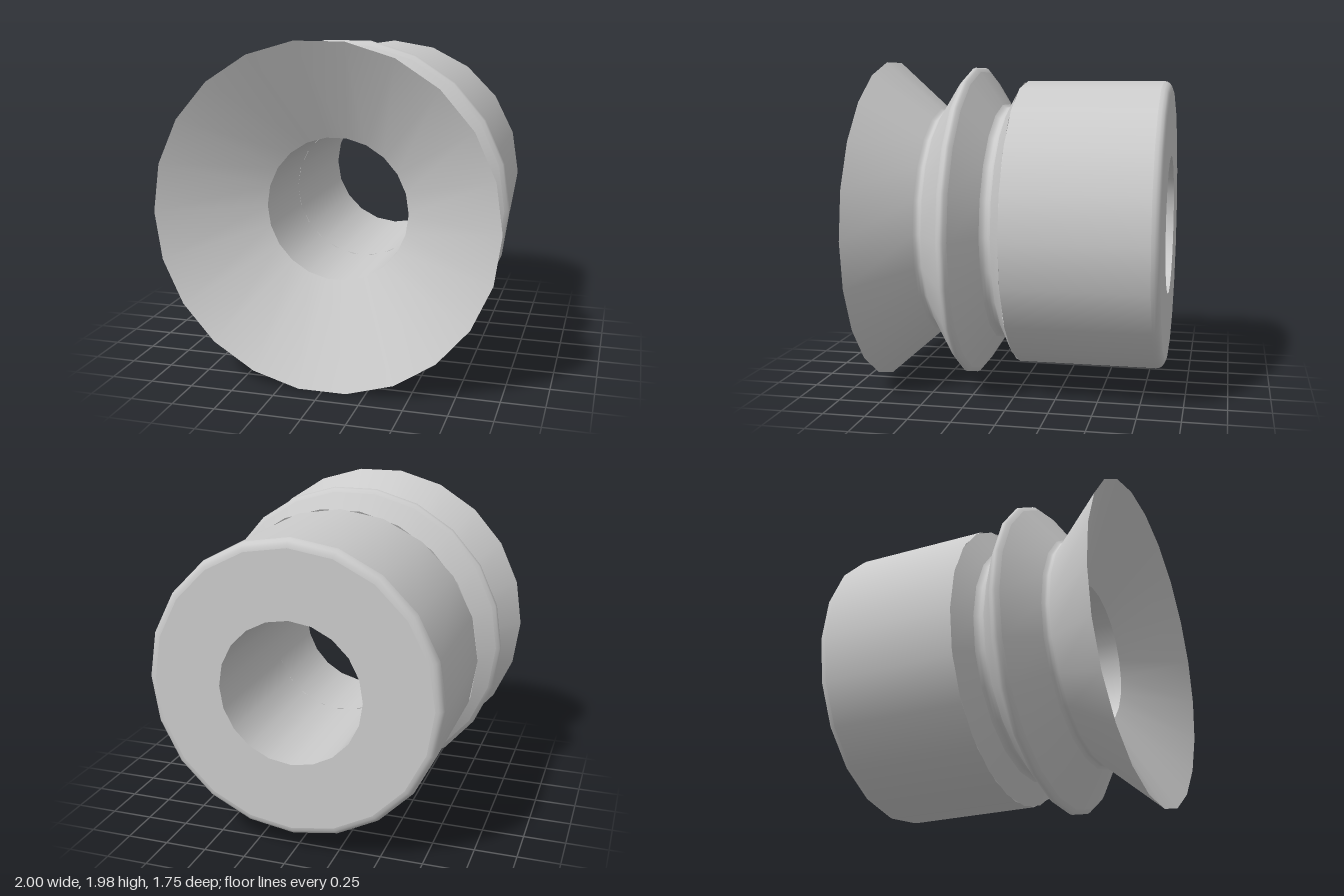
import * as THREE from 'three';
import { mergeGeometries } from 'three/addons/utils/BufferGeometryUtils.js';

const CENTER_Y = 0.99;
const BORE = 0.425;

// Revolves [radius, z] sections around the z axis; each section is smooth, with creases between sections.
function revolve(name, sections, sides, material) {
  const parts = sections.map((points) =>
    new THREE.LatheGeometry(points.map(([r, z]) => new THREE.Vector2(r, z)), sides, Math.PI / 2));
  const geometry = mergeGeometries(parts);
  geometry.normalizeNormals();
  geometry.rotateX(Math.PI / 2);
  geometry.translate(0, CENTER_Y, 0);
  const mesh = new THREE.Mesh(geometry, material);
  mesh.name = name;
  return mesh;
}

// Rounded profile corner: quarter arc from the rear face to the side wall.
function roundedCorner(radius, z, fillet, steps) {
  const points = [];
  for (let i = 0; i <= steps; i++) {
    const a = (i / steps) * Math.PI / 2;
    points.push([radius - fillet + fillet * Math.sin(a), z + fillet - fillet * Math.cos(a)]);
  }
  return points;
}

export function createModel() {
  const group = new THREE.Group();
  group.name = 'suctionCup';
  const material = new THREE.MeshStandardMaterial({ color: 0xcccccc, side: THREE.DoubleSide });

  // Solid mounting body with a rounded rear edge and a through bore
  group.add(revolve('mountingBody', [
    [[BORE, -0.875], [0.825, -0.875]],
    roundedCorner(0.875, -0.875, 0.05, 4),
    [[0.875, -0.825], [0.875, 0.01]],
    [[0.875, 0.01], [BORE, 0.01]],
    [[BORE, 0.01], [BORE, -0.875]],
  ], 20, material));

  // Bellows: flare, rounded neck, ridge, second neck, then the flared lip and its inner cone
  group.add(revolve('bellowsCup', [
    [[0.875, 0.01], [0.737, 0.085]],
    [[0.737, 0.085], [0.722, 0.1], [0.72, 0.117], [0.722, 0.134], [0.737, 0.15]],
    [[0.737, 0.15], [0.938, 0.28]],
    [[0.938, 0.28], [0.958, 0.296], [0.965, 0.312], [0.958, 0.328], [0.938, 0.345]],
    [[0.938, 0.345], [0.715, 0.495]],
    [[0.715, 0.495], [0.7, 0.508], [0.696, 0.52], [0.7, 0.535], [0.712, 0.548]],
    [[0.712, 0.548], [1, 0.875]],
    [[1, 0.875], [BORE, 0.56]],
    [[BORE, 0.56], [BORE, 0.01]],
  ], 22, material));

  return group;
}
